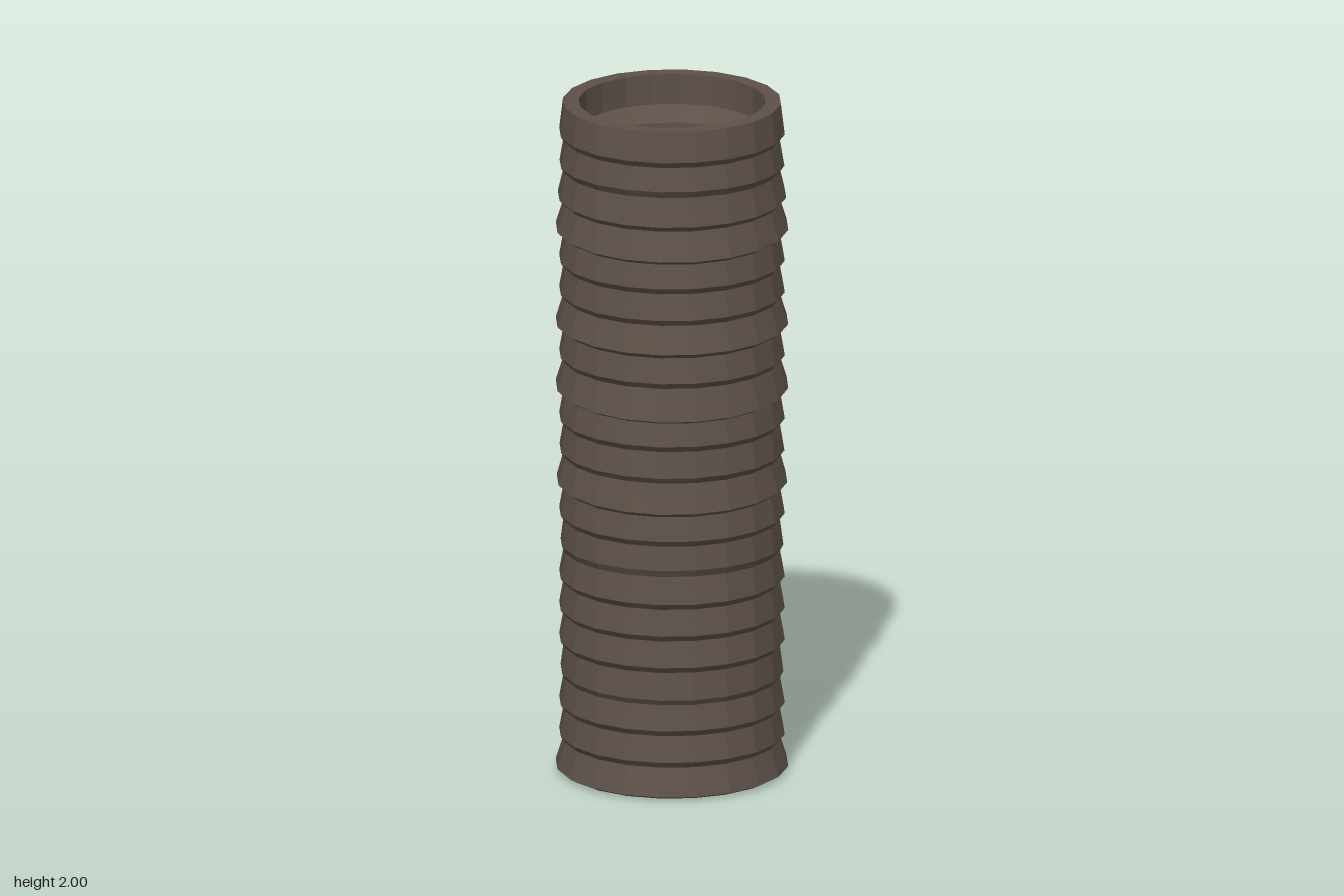
import * as THREE from 'three';

const SIDES = 20;

// Lathe whose profile rings may lean: points are [radius, y, lean]
function leaningLathe(points, material, name) {
  const geo = new THREE.LatheGeometry(points.map(([r, y]) => new THREE.Vector2(r, y)), SIDES);
  const pos = geo.attributes.position;
  for (let i = 0; i < pos.count; i++) {
    const lean = points[i % points.length][2] || 0;
    const side = (pos.getX(i) - pos.getZ(i)) / 0.47;
    pos.setY(i, pos.getY(i) + lean * side);
  }
  geo.computeVertexNormals();
  const mesh = new THREE.Mesh(geo, material);
  mesh.name = name;
  return mesh;
}

export function createModel() {
  const group = new THREE.Group();
  group.name = 'ribbedTube';
  const brown = new THREE.MeshStandardMaterial({ color: 0x5d5049, flatShading: true, side: THREE.DoubleSide });
  brown.name = 'dark brown';

  // Ribs that flare wider or lean, counted from the top: [lip radius, lean]
  const special = {
    1: [0.325, -0.008], 2: [0.33, 0.003], 3: [0.336, 0.011], 6: [0.336, 0.005],
    8: [0.336, 0.017], 10: [0.325, 0], 11: [0.333, 0.011], 13: [0.322, -0.007],
    17: [0.322, 0.004], 20: [0.336, 0.006],
  };

  // Overlapping ribs: narrow at the top, flaring down to a lip that tucks under
  const shell = [];
  for (let i = 20; i >= 0; i--) {
    const y = 1.91 - i * 0.0947;
    const [lip, lean] = special[i] || [0.326, 0];
    shell.push([0.312, Math.max(0, y - 0.018), i === 20 ? 0 : lean * 0.6], [lip, y, lean]);
  }
  shell.push([0.315, 2]);
  group.add(leaningLathe(shell, brown, 'ribbedShell'));

  // Flat rim with a stepped socket sunk into the top
  const socket = [[0.315, 2], [0.27, 2], [0.27, 1.91], [0.197, 1.876], [0.195, 1.8], [0, 1.8]];
  group.add(leaningLathe(socket, brown, 'topSocket'));

  return group;
}
